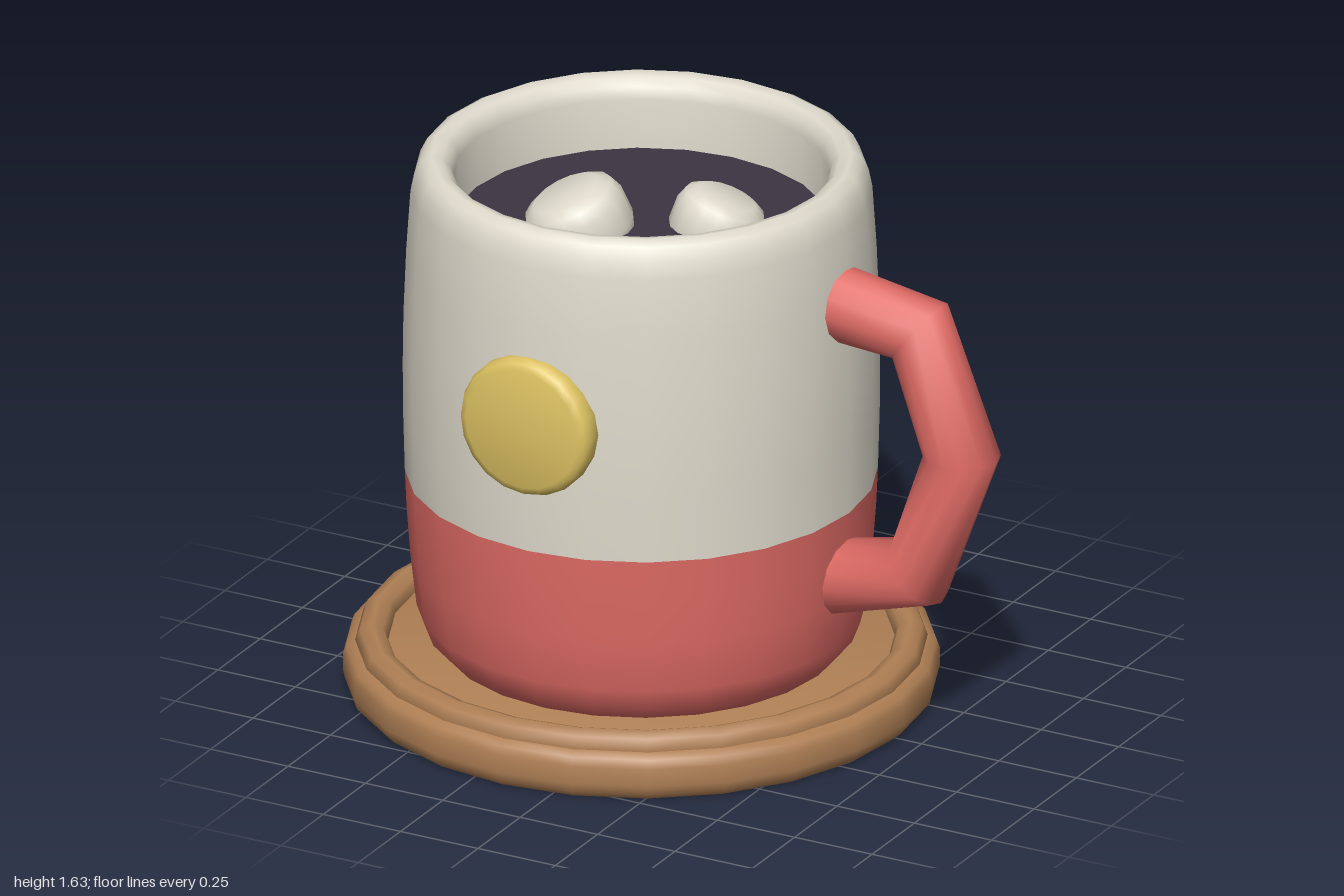
import * as THREE from 'three';
import { mergeVertices, toCreasedNormals } from 'three/addons/utils/BufferGeometryUtils.js';

const material = (name, color) => {
  const m = new THREE.MeshStandardMaterial({ color });
  m.name = name;
  return m;
};

// Revolve [radius, y] pairs, listed from the bottom up the outside
function turned(profile, sides = 24, crease = 0.9) {
  const points = profile.map(([r, y]) => new THREE.Vector2(r, y));
  return toCreasedNormals(new THREE.LatheGeometry(points, sides), crease);
}

// Bend an open cylinder along a path in the xy plane, one ring per point
function bentTube(path, radius, sides) {
  const n = path.length - 1;
  const geo = new THREE.CylinderGeometry(1, 1, n, sides, n, true);
  const points = path.map(([x, y]) => new THREE.Vector2(x, y));
  const dir = (i) => points[i + 1].clone().sub(points[i]).normalize();
  const pos = geo.attributes.position;
  for (let v = 0; v < pos.count; v++) {
    const i = Math.round(pos.getY(v) + n / 2);
    const t = dir(Math.max(i - 1, 0)).add(dir(Math.min(i, n - 1))).normalize();
    const s = pos.getX(v) * radius;
    pos.setXYZ(v, points[i].x + t.y * s, points[i].y - t.x * s, pos.getZ(v) * radius);
  }
  geo.deleteAttribute('uv');
  geo.deleteAttribute('normal');
  const welded = mergeVertices(geo);
  welded.computeVertexNormals();
  return welded;
}

export function createModel() {
  const cream = material('cream glaze', 0xe0dbcd);
  const red = material('coral glaze', 0xe06b65);
  const wood = material('wood', 0xb08055);
  const gold = material('yellow badge', 0xdcc162);
  const cocoa = material('dark drink', 0x3d3542);

  const model = new THREE.Group();
  model.name = 'mugOnCoaster';
  const cup = new THREE.Group();
  cup.name = 'cup';
  cup.position.x = -0.155;
  model.add(cup);
  const add = (name, geo, mat, parent = cup) => {
    const mesh = new THREE.Mesh(geo, mat);
    mesh.name = name;
    parent.add(mesh);
    return mesh;
  };

  // Coaster with a raised rounded rim
  add('coaster', turned([[0, 0], [0.82, 0], [0.84, 0.02], [0.846, 0.045], [0.846, 0.1],
    [0.837, 0.125], [0.81, 0.14], [0, 0.14]]), wood);
  const rim = add('coasterRim', new THREE.TorusGeometry(0.765, 0.047, 8, 24), wood);
  rim.rotation.x = Math.PI / 2;
  rim.position.y = 0.14;

  // Mug: coloured lower band, then pale upper wall folding over the lip
  add('lowerBody', turned([[0, 0.14], [0.57, 0.14], [0.615, 0.19], [0.638, 0.25],
    [0.655, 0.4], [0.666, 0.55], [0.671, 0.665]]), red);
  add('upperBody', turned([[0.671, 0.665], [0.676, 0.85], [0.677, 1], [0.675, 1.15], [0.667, 1.35],
    [0.655, 1.53], [0.645, 1.58], [0.625, 1.62], [0.597, 1.635], [0.565, 1.627],
    [0.543, 1.605], [0.535, 1.57], [0.535, 1.38]]), cream);

  // Drink surface
  const drink = add('drink', new THREE.CircleGeometry(0.537, 24), cocoa);
  drink.rotation.x = -Math.PI / 2;
  drink.position.y = 1.42;

  // Two tilted floating marshmallows
  const puff = turned([[0, -0.1], [0.1, -0.1], [0.135, -0.08], [0.15, -0.04], [0.15, 0.04],
    [0.135, 0.08], [0.1, 0.1], [0, 0.1]], 16, 1.2);
  [[-0.155, 1.425, 0.08, 0.25, 0.35, 1], [0.18, 1.415, -0.115, -0.2, -0.3, 0.88]]
    .forEach(([x, y, z, rx, rz, s], i) => {
      const mesh = add(`marshmallow${i + 1}`, puff, cream);
      mesh.position.set(x, y, z);
      mesh.rotation.set(rx, 0, rz);
      mesh.scale.setScalar(s);
    });

  // Round badge on the front
  const badge = add('badge', turned([[0, 0], [0.2, 0], [0.21, 0.015], [0.21, 0.06],
    [0.2, 0.082], [0.18, 0.09], [0, 0.09]], 20), gold);
  badge.rotation.x = Math.PI / 2;
  badge.position.set(0, 1.055, 0.62);

  // Angular handle
  add('handle', bentTube([[0.44, 0.455], [0.74, 0.532], [0.88, 0.92], [0.745, 1.278], [0.44, 1.315]],
    0.111, 12), red, model);

  return model;
}
